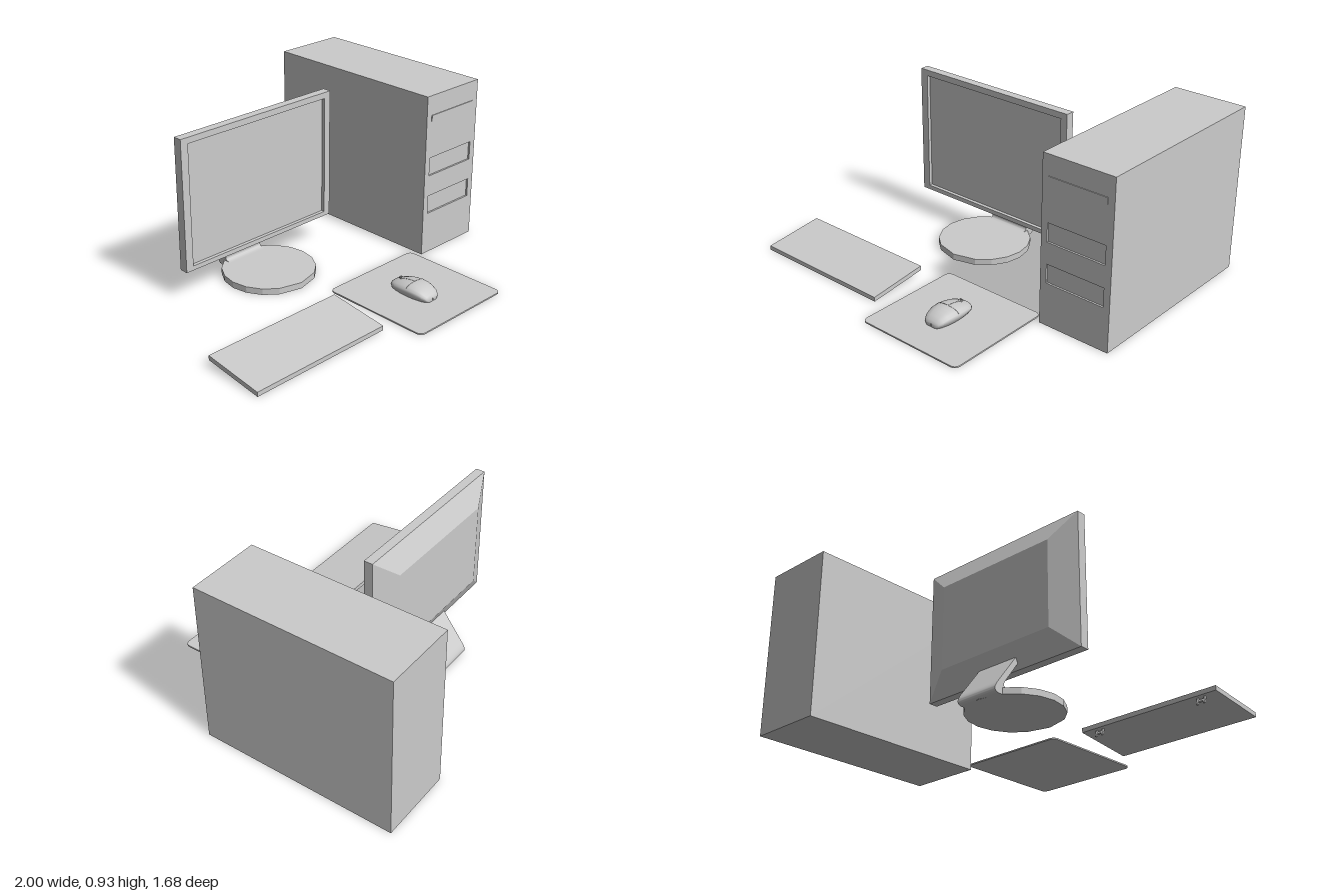
import * as THREE from 'three';
import { toCreasedNormals } from 'three/addons/utils/BufferGeometryUtils.js';

const material = new THREE.MeshStandardMaterial({ color: 0xcccccc });

function add(parent, name, geometry, x = 0, y = 0, z = 0) {
  const mesh = new THREE.Mesh(geometry, material);
  mesh.name = name;
  mesh.position.set(x, y, z);
  parent.add(mesh);
  return mesh;
}

// Box given by its extents
function block(parent, name, x0, x1, y0, y1, z0, z1) {
  return add(parent, name, new THREE.BoxGeometry(x1 - x0, y1 - y0, z1 - z0),
    (x0 + x1) / 2, (y0 + y1) / 2, (z0 + z1) / 2);
}

function group(parent, name) {
  const g = new THREE.Group();
  g.name = name;
  parent.add(g);
  return g;
}

const rect = (x0, x1, y0, y1) => [[x0, y0], [x1, y0], [x1, y1], [x0, y1]].map(p => new THREE.Vector2(...p));
const extrude = (shape, depth) => new THREE.ExtrudeGeometry(shape, { depth, bevelEnabled: false });

// Flat panel with rectangular openings
function panel(outer, holes, depth) {
  const shape = new THREE.Shape(rect(...outer));
  holes.forEach(h => shape.holes.push(new THREE.Path(rect(...h))));
  return extrude(shape, depth);
}

function buildTower(root) {
  const g = group(root, 'computerTower');
  block(g, 'towerCase', 0.583, 1, 0, 0.927, -0.845, 0.255);
  add(g, 'towerFront', panel([0.583, 1, 0, 0.927],
    [[0.62, 0.962, 0.465, 0.57], [0.62, 0.962, 0.24, 0.345]], 0.01), 0, 0, 0.255);
  block(g, 'discDrive', 0.62, 0.962, 0.78, 0.815, 0.26, 0.269);
}

function buildMonitor(root) {
  const g = group(root, 'monitor');
  add(g, 'screenFrame', panel([-0.68, 0.345, 0.165, 0.897], [[-0.635, 0.305, 0.19, 0.863]], 0.05), 0, 0, -0.275);
  block(g, 'screen', -0.64, 0.31, 0.185, 0.868, -0.27, -0.245);

  // Back housing: a box whose rear face is drawn in
  const back = new THREE.BoxGeometry(1.025, 0.732, 0.06);
  const p = back.attributes.position;
  for (let i = 0; i < p.count; i++) {
    if (p.getZ(i) < 0) p.setXY(i, p.getX(i) * 0.712, p.getY(i) * 0.65);
  }
  back.computeVertexNormals();
  add(g, 'backHousing', back, -0.1675, 0.531, -0.305);

  // Bent neck: side profile as (z, y)
  const neck = new THREE.Shape();
  neck.moveTo(-0.35, 0);
  neck.lineTo(-0.35, 0.035);
  neck.quadraticCurveTo(-0.4, 0.035, -0.375, 0.075);
  neck.lineTo(-0.265, 0.225);
  neck.lineTo(-0.285, 0.245);
  neck.lineTo(-0.425, 0.06);
  neck.quadraticCurveTo(-0.47, 0, -0.41, 0);
  const neckGeo = extrude(neck, 0.25).rotateY(-Math.PI / 2);
  add(g, 'neck', toCreasedNormals(neckGeo, 0.6), -0.04);

  // Faceted round foot
  const angles = [0, 30, 50, 70, 90, 110, 130, 150, 180, 210, 230, 250, 270, 290, 310, 330];
  const foot = new THREE.Shape(angles.map(d => {
    const a = THREE.MathUtils.degToRad(d);
    return new THREE.Vector2(Math.sin(a) * 0.255, Math.cos(a) * 0.255);
  }));
  add(g, 'foot', extrude(foot, 0.035).rotateX(-Math.PI / 2), -0.165, 0, -0.173);
}

function buildKeyboard(root) {
  const g = group(root, 'keyboard');
  const geo = new THREE.BoxGeometry(0.83, 0.025, 0.34);
  const p = geo.attributes.position;
  for (let i = 0; i < p.count; i++) p.setY(i, p.getY(i) - p.getZ(i) * 0.118);
  geo.computeVertexNormals();
  add(g, 'keyboardSlab', geo, -0.585, 0.0325, 0.5);

  // Fold-out legs: two posts and a crossbar
  for (const x of [-0.9, -0.27]) {
    const leg = group(g, 'foldOutLeg');
    leg.position.set(x, 0.038, 0.355);
    leg.rotation.x = 0.3;
    for (const s of [-1, 1]) {
      block(leg, 'legPost', s * 0.02 - 0.005, s * 0.02 + 0.005, -0.038, 0.004, -0.005, 0.005);
    }
    block(leg, 'legCrossbar', -0.025, 0.025, -0.026, -0.014, -0.005, 0.005);
  }
}

function buildMousePad(root) {
  const r = 0.03, h = 0.315, s = new THREE.Shape();
  s.absarc(h - r, h - r, r, 0, Math.PI / 2);
  s.absarc(r - h, h - r, r, Math.PI / 2, Math.PI);
  s.absarc(r - h, r - h, r, Math.PI, Math.PI * 1.5);
  s.absarc(h - r, r - h, r, Math.PI * 1.5, Math.PI * 2);
  const geo = new THREE.ExtrudeGeometry(s, { depth: 0.008, bevelEnabled: false, curveSegments: 5 });
  add(root, 'mousePad', geo.rotateX(-Math.PI / 2), 0.235, 0, 0.525);
}

function buildMouse(root) {
  const g = group(root, 'mouse');
  g.position.set(0.218, 0.008, 0);
  // Stations along z: [z, half width, height]
  const stations = [[0.394, 0.001, 0.024], [0.395, 0.025, 0.026], [0.405, 0.043, 0.034], [0.425, 0.06, 0.043],
    [0.455, 0.07, 0.053], [0.495, 0.077, 0.062], [0.535, 0.079, 0.067], [0.57, 0.077, 0.067],
    [0.6, 0.071, 0.061], [0.63, 0.062, 0.049], [0.65, 0.049, 0.034], [0.658, 0.036, 0.022], [0.659, 0.001, 0.02]];
  const half = [[0.78, 0], [0.9, 0.22], [1, 0.5], [0.95, 0.68], [0.78, 0.85], [0.45, 0.96]];
  const ring = [...half, [0, 1], ...half.map(([x, y]) => [-x, y]).reverse()];
  const n = ring.length, pos = [], index = [];
  stations.forEach(([z, w, h], i) => {
    ring.forEach(([x, y], j) => {
      pos.push(x * w, y * h, z);
      if (i === stations.length - 1) return;
      const a = i * n + j, b = i * n + (j + 1) % n;
      index.push(a, b, b + n, a, b + n, a + n);
    });
  });
  const body = new THREE.BufferGeometry();
  body.setAttribute('position', new THREE.Float32BufferAttribute(pos, 3));
  body.setIndex(index);
  add(g, 'mouseBody', toCreasedNormals(body, 0.8));

  // Seams around the two buttons
  const seam = (name, pts) => add(g, name, new THREE.TubeGeometry(
    new THREE.CatmullRomCurve3(pts.map(q => new THREE.Vector3(...q))), 12, 0.0012, 4));
  seam('crossSeam', ring.slice(3, n - 3).map(([x, y]) => [x * 0.079, y * 0.067, 0.535]));
  seam('buttonSeam', stations.slice(4, 7).map(([z, , h]) => [0, h, z]));

  // Scroll wheel in its surround
  add(g, 'wheelSurround', panel([-0.01, 0.01, -0.018, 0.018], [[-0.007, 0.007, -0.014, 0.014]], 0.006)
    .rotateX(-Math.PI / 2 + 0.3), 0, 0.047, 0.448);
  add(g, 'scrollWheel', new THREE.CylinderGeometry(0.014, 0.014, 0.01, 16).rotateZ(Math.PI / 2), 0, 0.042, 0.448);
}

export function createModel() {
  const root = new THREE.Group();
  root.name = 'desktopComputer';
  buildTower(root);
  buildMonitor(root);
  buildKeyboard(root);
  buildMousePad(root);
  buildMouse(root);
  return root;
}
